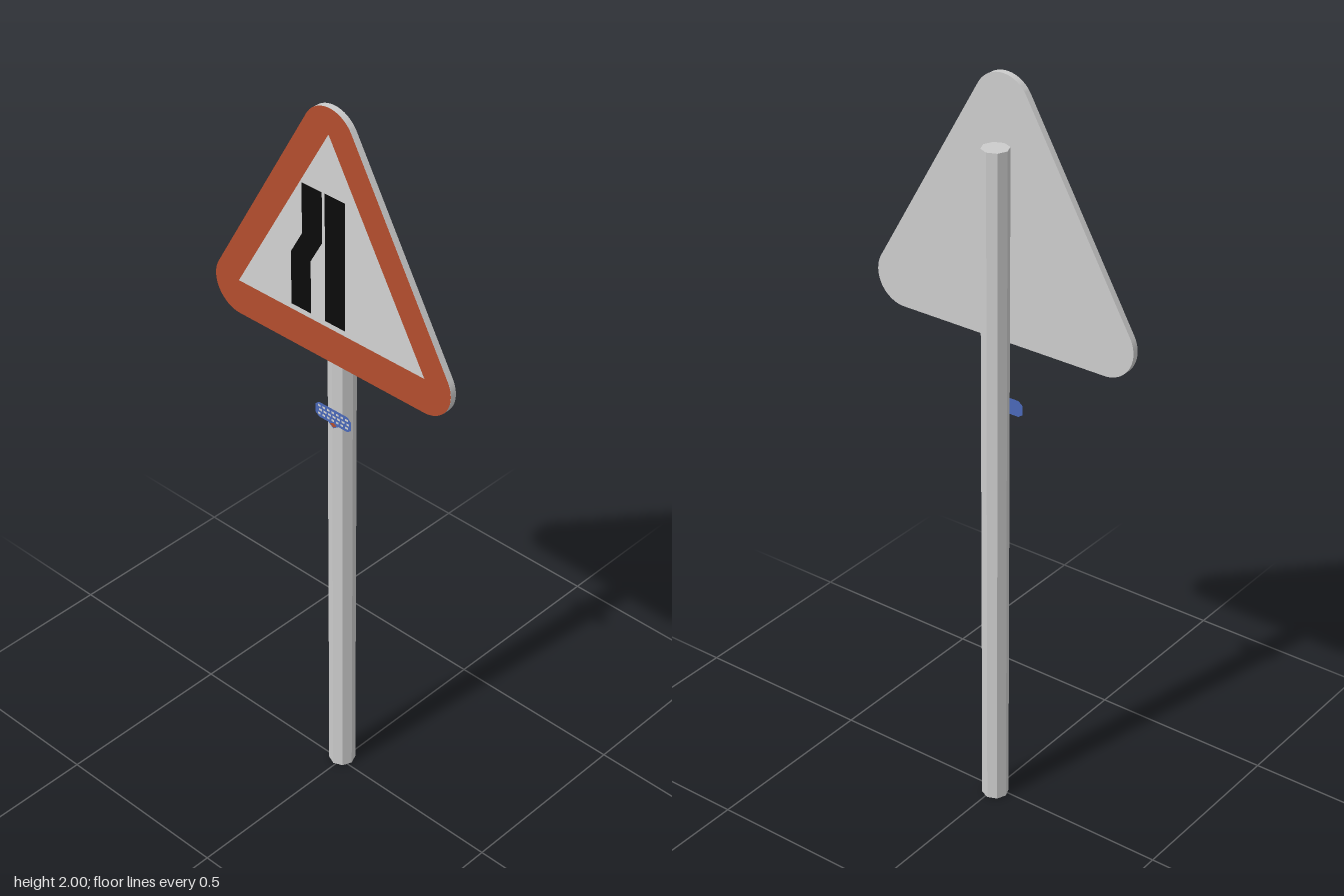
import * as THREE from 'three';
import { toCreasedNormals } from 'three/addons/utils/BufferGeometryUtils.js';

const material = (name, color, extra = {}) => {
  const m = new THREE.MeshStandardMaterial({ color, ...extra });
  m.name = name;
  return m;
};

const polygon = (points) => new THREE.Shape(points.map(([x, y]) => new THREE.Vector2(x, y)));

// Equilateral triangle with rounded corners, drawn counter-clockwise
function roundedTriangle(halfWidth, bottom, top, radius) {
  const s = new THREE.Shape();
  const d = Math.PI / 180;
  s.absarc(-halfWidth, bottom, radius, 150 * d, 270 * d, false);
  s.absarc(halfWidth, bottom, radius, -90 * d, 30 * d, false);
  s.absarc(0, top, radius, 30 * d, 150 * d, false);
  s.closePath();
  return s;
}

export function createModel() {
  const group = new THREE.Group();
  group.name = 'roadSign';

  const steel = material('steel grey', 0xcccccc);
  const red = material('border red', 0xb44e2e);
  const white = material('sign white', 0xd2d2d2);
  const black = material('symbol black', 0x0b0b0b);
  const blue = material('sticker blue', 0x4a68b8, { side: THREE.DoubleSide });

  const add = (name, geometry, mat, x = 0, y = 0, z = 0) => {
    const mesh = new THREE.Mesh(geometry, mat);
    mesh.name = name;
    mesh.position.set(x, y, z);
    group.add(mesh);
    return mesh;
  };
  const face = (name, shape, mat, z) => add(name, new THREE.ShapeGeometry(shape, 10), mat, 0, 0, z);

  // Eight-sided post
  const post = new THREE.CylinderGeometry(0.035, 0.035, 1.83, 8).toNonIndexed();
  post.computeVertexNormals();
  add('post', post, steel, -0.007, 0.915, -0.012);

  // Metal plate with a painted front
  const outline = roundedTriangle(0.3, 1.4, 1.92, 0.08);
  const plate = new THREE.ExtrudeGeometry(outline, { depth: 0.017, bevelEnabled: false, curveSegments: 10 });
  add('signPlate', toCreasedNormals(plate, 0.6), steel, 0, 0, 0.022);
  face('redBorder', outline, red, 0.0395);
  face('whitePanel', polygon([[-0.3, 1.415], [0.3, 1.415], [0, 1.933]]), white, 0.0402);

  // Narrowing-road symbol
  face('straightLane', polygon([[-0.012, 1.43], [0.052, 1.43], [0.052, 1.776], [-0.012, 1.776]]), black, 0.0409);
  face('bentLane', polygon([
    [-0.122, 1.43], [-0.058, 1.43], [-0.058, 1.575], [-0.021, 1.64],
    [-0.021, 1.776], [-0.085, 1.776], [-0.085, 1.64], [-0.122, 1.575],
  ]), black, 0.0409);

  // Small sticker on the post
  face('sticker', polygon([
    [-0.062, 1.135], [-0.05, 1.126], [-0.02, 1.126], [-0.003, 1.114], [0.014, 1.126],
    [0.044, 1.126], [0.055, 1.135], [0.055, 1.16], [0.044, 1.17], [-0.05, 1.17], [-0.062, 1.16],
  ]), blue, 0.0238);

  // Abstract pale flecks and a red tip on the sticker
  for (let row = 0; row < 3; row++) {
    for (let i = 0; i < 7; i++) {
      const x = -0.049 + i * 0.015 + (row % 2) * 0.004;
      add('stickerFleck', new THREE.PlaneGeometry(0.009, 0.006), white, x, 1.137 + row * 0.0115, 0.0243);
    }
  }
  face('stickerTip', polygon([[-0.014, 1.125], [-0.003, 1.117], [0.008, 1.125], [-0.003, 1.131]]), red, 0.0243);

  return group;
}
